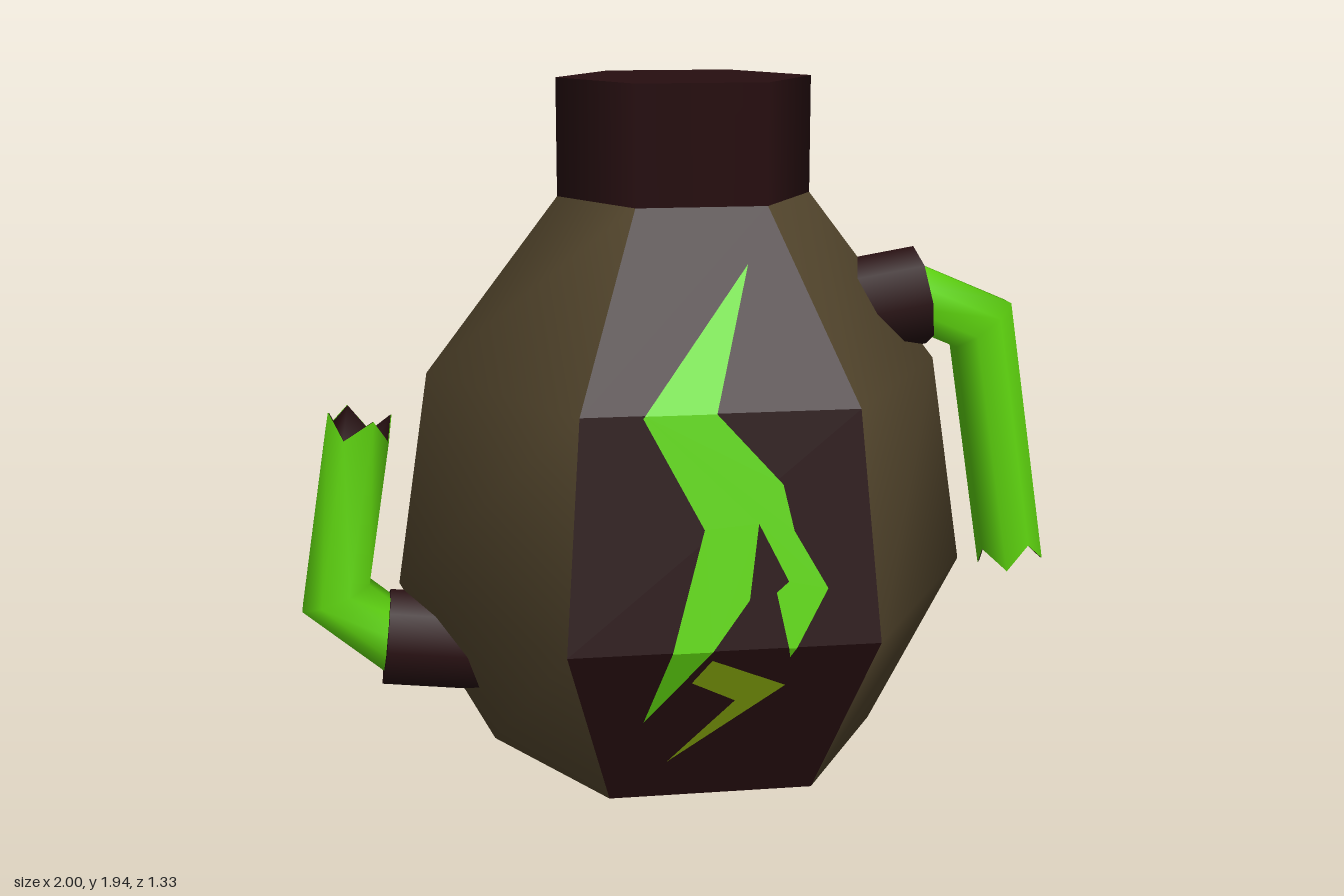
import * as THREE from 'three';

const maroon = new THREE.MeshStandardMaterial({ color: 0x270e10, side: THREE.DoubleSide });
maroon.name = 'dark maroon';
const khaki = new THREE.MeshStandardMaterial({ color: 0x57492f });
khaki.name = 'khaki';
const green = new THREE.MeshStandardMaterial({ color: 0x5fd60f, side: THREE.DoubleSide });
green.name = 'bright green';
const olive = new THREE.MeshStandardMaterial({ color: 0x84a30c, side: THREE.DoubleSide });
olive.name = 'olive green';

const CX = 0.012; // axis of the body
const PROFILE = [[0.18, 0.515], [0.63, 0.757], [1.19, 0.67], [1.64, 0.325]]; // [y, corner radius]

function add(parent, name, geometry, material) {
  const mesh = new THREE.Mesh(geometry, material);
  mesh.name = name;
  parent.add(mesh);
  return mesh;
}

function build(points, index) {
  const g = new THREE.BufferGeometry();
  g.setAttribute('position', new THREE.Float32BufferAttribute(points, 3));
  g.setIndex(index);
  g.computeVertexNormals();
  return g;
}

// Wall of the hexagonal body covering the given corner angles
function wall(degrees) {
  const points = [], index = [], n = degrees.length;
  PROFILE.forEach(([y, r], j) => degrees.forEach((deg, i) => {
    const a = THREE.MathUtils.degToRad(deg);
    points.push(CX + r * Math.cos(a), y, r * Math.sin(a));
    if (j < PROFILE.length - 1 && i < n - 1) {
      const k = j * n + i;
      index.push(k, k + n, k + 1, k + 1, k + n, k + n + 1);
    }
  }));
  return build(points, index);
}

// Distance of the front wall from the axis at height y
function wallDepth(y) {
  let j = 0;
  while (j < 2 && y > PROFILE[j + 1][0]) j++;
  const [y0, r0] = PROFILE[j], [y1, r1] = PROFILE[j + 1];
  return THREE.MathUtils.lerp(r0, r1, (y - y0) / (y1 - y0)) * Math.sqrt(3) / 2;
}

// Keep the part of a polygon above (sign 1) or below (sign -1) a height
function clip(poly, h, sign) {
  const out = [];
  poly.forEach((p, i) => {
    const q = poly[(i + 1) % poly.length];
    const dp = (p[1] - h) * sign, dq = (q[1] - h) * sign;
    if (dp >= 0) out.push(p);
    if (dp * dq < 0) {
      const t = dp / (dp - dq);
      out.push([p[0] + (q[0] - p[0]) * t, h]);
    }
  });
  return out;
}

// Painted mark that follows the bends of the front (side 1) or back (side -1) wall
function addMark(parent, name, poly, material, side) {
  for (let j = 0; j < PROFILE.length - 1; j++) {
    const piece = clip(clip(poly, PROFILE[j][0], 1), PROFILE[j + 1][0], -1);
    if (piece.length < 3) continue;
    const g = new THREE.ShapeGeometry(new THREE.Shape(piece.map(([x, y]) => new THREE.Vector2(x, y))));
    const pos = g.attributes.position;
    for (let i = 0; i < pos.count; i++) pos.setZ(i, side * (wallDepth(pos.getY(i)) + 0.007));
    if (side < 0) g.setIndex([...g.index.array].reverse());
    g.computeVertexNormals();
    add(parent, name, g, material);
  }
}

// Loft of round rings lying across the xy plane; rings are { p, n, r, d, jag }
function loft(rings, inward) {
  const N = 8, points = [], index = [];
  rings.forEach(({ p, n, r, d, jag = 0 }, j) => {
    for (let i = 0; i < N; i++) {
      const a = (i + 0.5) / N * Math.PI * 2, c = r * Math.cos(a), s = (i % 2 ? -1 : 1) * jag;
      points.push(p.x + n.x * c + d.x * s, p.y + n.y * c + d.y * s, r * Math.sin(a));
      if (j < rings.length - 1) {
        const k = j * N + i, k2 = j * N + (i + 1) % N;
        if (inward) index.push(k, k + N, k2, k2, k + N, k2 + N);
        else index.push(k, k2, k + N, k2, k2 + N, k + N);
      }
    }
  });
  return build(points, index);
}

// Bent pipe with a collar at the body and a jagged broken end
function addPipe(parent, name, path, collarFrom, collarTo) {
  const group = new THREE.Group();
  group.name = name;
  parent.add(group);
  const [a, b, c] = path.map(([x, y]) => new THREE.Vector2(x, y));
  const d1 = b.clone().sub(a).normalize(), d2 = c.clone().sub(b).normalize();
  const perp = (d) => new THREE.Vector2(-d.y, d.x);
  const miter = perp(d1).add(perp(d2)).normalize();
  miter.divideScalar(miter.dot(perp(d1)));
  const R = 0.088, jag = 0.03, n2 = perp(d2);
  add(group, 'pipe', loft([
    { p: a, n: perp(d1), r: R, d: d1 },
    { p: b, n: miter, r: R, d: d2 },
    { p: c, n: n2, r: R, d: d2, jag },
  ]), green);

  // Dark inside of the broken end
  const deep = c.clone().addScaledVector(d2, -0.1);
  add(group, 'pipeLining', loft([
    { p: deep, n: n2, r: 0.001, d: d2 },
    { p: deep, n: n2, r: R * 0.96, d: d2 },
    { p: c, n: n2, r: R * 0.97, d: d2, jag },
  ], true), maroon);

  // Collar
  const from = new THREE.Vector3(...collarFrom, 0), to = new THREE.Vector3(...collarTo, 0);
  const dir = to.clone().sub(from);
  const collar = add(group, 'collar', new THREE.CylinderGeometry(0.132, 0.132, dir.length(), 8), maroon);
  collar.position.copy(from).add(to).multiplyScalar(0.5);
  collar.quaternion.setFromUnitVectors(new THREE.Vector3(0, 1, 0), dir.normalize());
}

export function createModel() {
  const model = new THREE.Group();
  model.name = 'hexagonalFlask';

  // Body walls: khaki sides, maroon front and back
  add(model, 'leftSide', wall([-60, 0, 60]), khaki);
  add(model, 'rightSide', wall([120, 180, 240]), khaki);
  add(model, 'frontPanel', wall([60, 120]).toNonIndexed(), maroon).geometry.computeVertexNormals();
  add(model, 'backPanel', wall([240, 300]).toNonIndexed(), maroon).geometry.computeVertexNormals();

  // Pointed base
  const base = new THREE.CylinderGeometry(0.515, 0, 0.18, 6, 1, true, Math.PI / 2).toNonIndexed();
  base.computeVertexNormals();
  add(model, 'base', base, maroon).position.set(CX, 0.09, 0);

  // Neck
  const neck = new THREE.CylinderGeometry(0.327, 0.327, 0.3, 6, 1, false, Math.PI / 2);
  add(model, 'neck', neck, maroon).position.set(CX, 1.785, 0);

  // Painted marks
  const bolt = [[0.11, 1.51], [0, 1.19], [0.155, 1.02], [0.18, 0.91], [0.26, 0.77], [0.168, 0.605],
    [0.135, 0.765], [0.165, 0.79], [0.095, 0.93], [0.07, 0.75], [-0.175, 0.425], [-0.035, 0.92], [-0.175, 1.185]];
  const spark = [[-0.02, 0.605], [0.165, 0.52], [-0.11, 0.295], [0.045, 0.48], [-0.065, 0.54]];
  const hook = [[-0.22, 1.15], [-0.31, 0.96], [-0.17, 0.82], [-0.24, 0.96], [-0.165, 1.02]];
  for (const side of [1, -1]) {
    addMark(model, side > 0 ? 'frontBolt' : 'backBolt', bolt, green, side);
    addMark(model, side > 0 ? 'frontSpark' : 'backSpark', spark, olive, side);
  }
  addMark(model, 'backHook', hook, olive, -1);

  // Broken pipes
  addPipe(model, 'leftPipe', [[0.596, 1.372], [0.81, 1.28], [0.913, 0.645]], [0.4, 1.32], [0.642, 1.36]);
  addPipe(model, 'rightPipe', [[-0.72, 0.445], [-0.91, 0.605], [-0.835, 1.06]], [-0.5, 0.45], [-0.783, 0.483]);

  return model;
}
